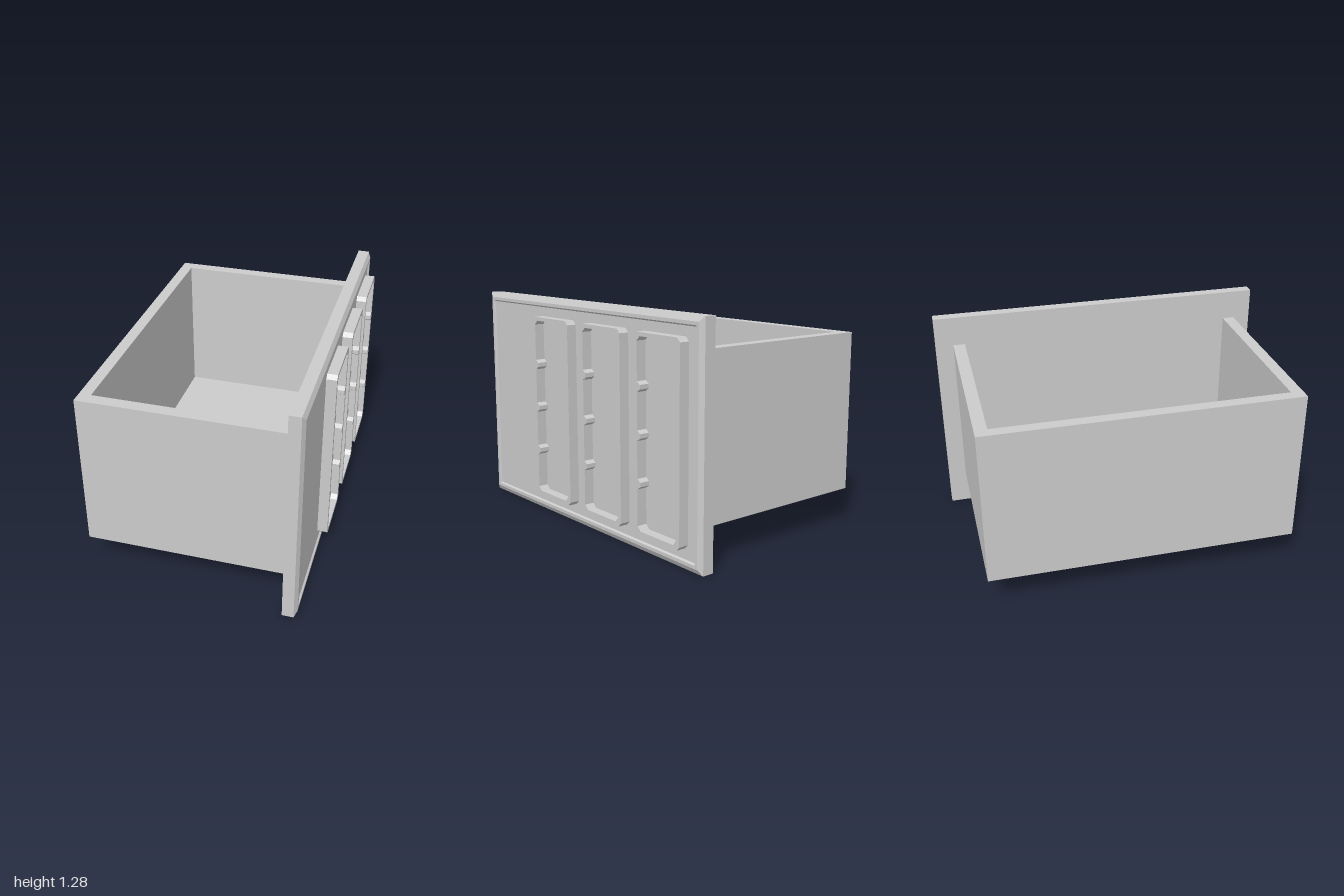
import * as THREE from 'three';

const material = new THREE.MeshStandardMaterial({ color: 0xcccccc, flatShading: true });

function addMesh(parent, name, geometry) {
  const mesh = new THREE.Mesh(geometry, material);
  mesh.name = name;
  parent.add(mesh);
  return mesh;
}

// Solid of nested rectangles facing +x: each ring is [x, inset from the outer edge].
function steppedPanel(rings, halfZ, height) {
  const loops = rings.map(([x, d]) => [
    [x, d, halfZ - d], [x, d, d - halfZ],
    [x, height - d, d - halfZ], [x, height - d, halfZ - d],
  ]);
  const pos = [];
  const quad = (a, b, c, d) => pos.push(...a, ...b, ...c, ...a, ...c, ...d);
  for (let i = 0; i < loops.length - 1; i++) {
    const p = loops[i], q = loops[i + 1];
    for (let k = 0; k < 4; k++) {
      const n = (k + 1) % 4;
      quad(p[k], p[n], q[n], q[k]);
    }
  }
  const first = loops[0], last = loops[loops.length - 1];
  quad(last[0], last[1], last[2], last[3]);
  quad(first[3], first[2], first[1], first[0]);
  const geometry = new THREE.BufferGeometry();
  geometry.setAttribute('position', new THREE.Float32BufferAttribute(pos, 3));
  geometry.computeVertexNormals();
  return geometry;
}

// Rectangle with cut corners; bumps point inward on the long sides at the given heights.
function frameOutline(w, y0, y1, cut, bumps = []) {
  const right = [[w, y0 + cut]];
  for (const y of bumps) {
    right.push([w, y - 0.028], [w - 0.024, y - 0.012], [w - 0.024, y + 0.012], [w, y + 0.028]);
  }
  right.push([w, y1 - cut], [w - cut, y1]);
  const left = right.slice(0, -1).reverse().map(([x, y]) => [-x, y]);
  const points = [[w - cut, y0], ...right, [cut - w, y1], ...left, [cut - w, y0]];
  return points.map(([x, y]) => new THREE.Vector2(x, y));
}

export function createModel() {
  const model = new THREE.Group();
  model.name = 'drawer';

  // Open-topped box: three walls as one U, closed by the front panel
  const box = new THREE.Group();
  box.name = 'drawerBox';
  model.add(box);
  const walls = new THREE.Shape([
    [0.51, -0.895], [0.51, -0.825], [-0.57, -0.825], [-0.57, 0.825],
    [0.51, 0.825], [0.51, 0.895], [-0.637, 0.895], [-0.637, -0.895],
  ].map(([x, y]) => new THREE.Vector2(x, y)));
  const wallGeometry = new THREE.ExtrudeGeometry(walls, { depth: 0.91, bevelEnabled: false });
  wallGeometry.rotateX(-Math.PI / 2).translate(0, 0.2, 0);
  addMesh(box, 'walls', wallGeometry);
  addMesh(box, 'floor', new THREE.BoxGeometry(1.08, 0.07, 1.65)).position.set(-0.03, 0.235, 0);

  // Front panel with a bevelled rim around a shallow recessed field
  addMesh(model, 'frontPanel', steppedPanel(
    [[0.507, 0], [0.572, 0], [0.588, 0.028], [0.588, 0.046], [0.578, 0.054]], 1, 1.285));

  // Three raised label frames, set towards one end of the panel
  const frame = new THREE.Shape(frameOutline(0.179, 0.112, 1.178, 0.022));
  frame.holes.push(new THREE.Path(frameOutline(0.153, 0.135, 1.157, 0.024, [0.386, 0.643, 0.898])));
  const frameGeometry = new THREE.ExtrudeGeometry(frame, { depth: 0.065, bevelEnabled: false });
  frameGeometry.rotateY(Math.PI / 2);
  [0.242, -0.237, -0.713].forEach((z, i) => {
    addMesh(model, `raisedFrame${i + 1}`, frameGeometry).position.set(0.571, 0, z);
  });

  return model;
}
